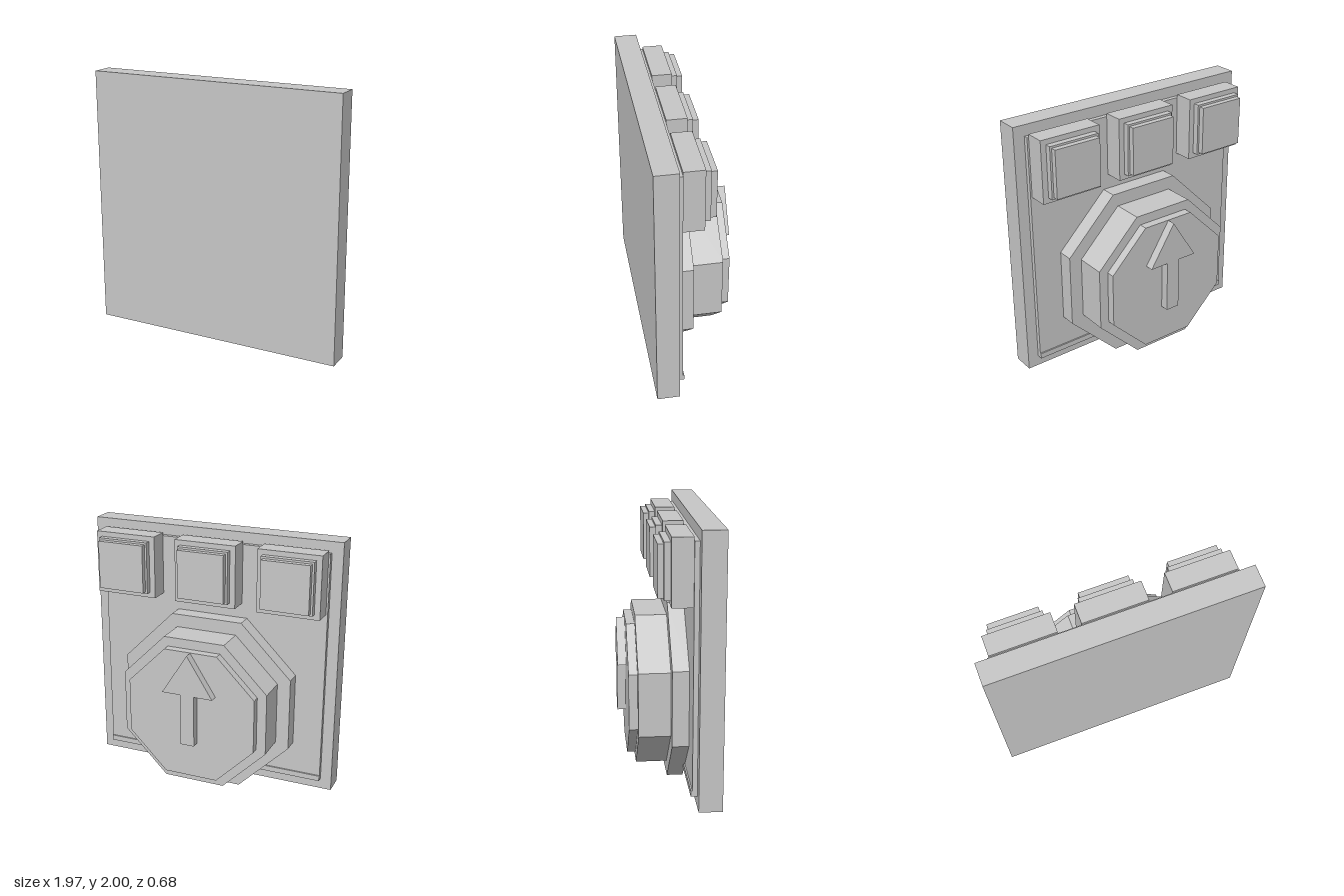
import * as THREE from 'three';

export function createModel() {
  const group = new THREE.Group();
  group.name = 'wallControlPanel';
  const grey = new THREE.MeshStandardMaterial({ color: 0xc7c7c7, flatShading: true });
  grey.name = 'lightGrey';

  const add = (name, geometry, parent = group) => {
    const mesh = new THREE.Mesh(geometry, grey);
    mesh.name = name;
    parent.add(mesh);
    return mesh;
  };
  // box spanning y0..y1 and z0..z1, centred on x
  const slab = (name, width, y0, y1, z0, z1, parent = group) => {
    const mesh = add(name, new THREE.BoxGeometry(width, y1 - y0, z1 - z0), parent);
    mesh.position.set(0, (y0 + y1) / 2, (z0 + z1) / 2);
    return mesh;
  };

  // Mounting plate, raised panel and its bottom lip
  slab('plate', 1.97, 0.03, 2, 0.173, 0.342);
  slab('panel', 1.8, 0.113, 1.917, 0.138, 0.173);
  slab('panelLip', 1.8, 0.113, 0.155, 0.127, 0.138);

  // Three stepped push buttons
  for (const x of [-0.647, 0, 0.647]) {
    const button = new THREE.Group();
    button.name = 'button';
    button.position.x = x;
    group.add(button);
    slab('buttonBase', 0.48, 1.467, 1.941, -0.011, 0.138, button);
    slab('buttonStep', 0.395, 1.508, 1.903, -0.057, -0.011, button);
    slab('buttonCap', 0.365, 1.523, 1.888, -0.099, -0.057, button);
  }

  // Octagonal dial in three tiers: apothem, near z, far z
  const dial = new THREE.Group();
  dial.name = 'dial';
  dial.position.y = 0.677;
  group.add(dial);
  [
    ['dialFlange', 0.677, 0.138, 0.018],
    ['dialBody', 0.577, 0.018, -0.214],
    ['dialFace', 0.505, -0.214, -0.278],
  ].forEach(([name, apothem, z1, z0]) => {
    const r = apothem / Math.cos(Math.PI / 8);
    const geometry = new THREE.CylinderGeometry(r, r, z1 - z0, 8, 1, false, Math.PI / 8);
    geometry.rotateX(Math.PI / 2);
    add(name, geometry, dial).position.z = (z0 + z1) / 2;
  });

  // Raised arrow pointing up
  const arrow = new THREE.Shape([
    [-0.055, 0.46], [0.055, 0.46], [0.055, 0.863], [0.202, 0.863],
    [0, 1.18], [-0.202, 0.863], [-0.055, 0.863],
  ].map(([x, y]) => new THREE.Vector2(x, y)));
  add('arrow', new THREE.ExtrudeGeometry(arrow, { depth: 0.064, bevelEnabled: false }))
    .position.z = -0.342;

  return group;
}
